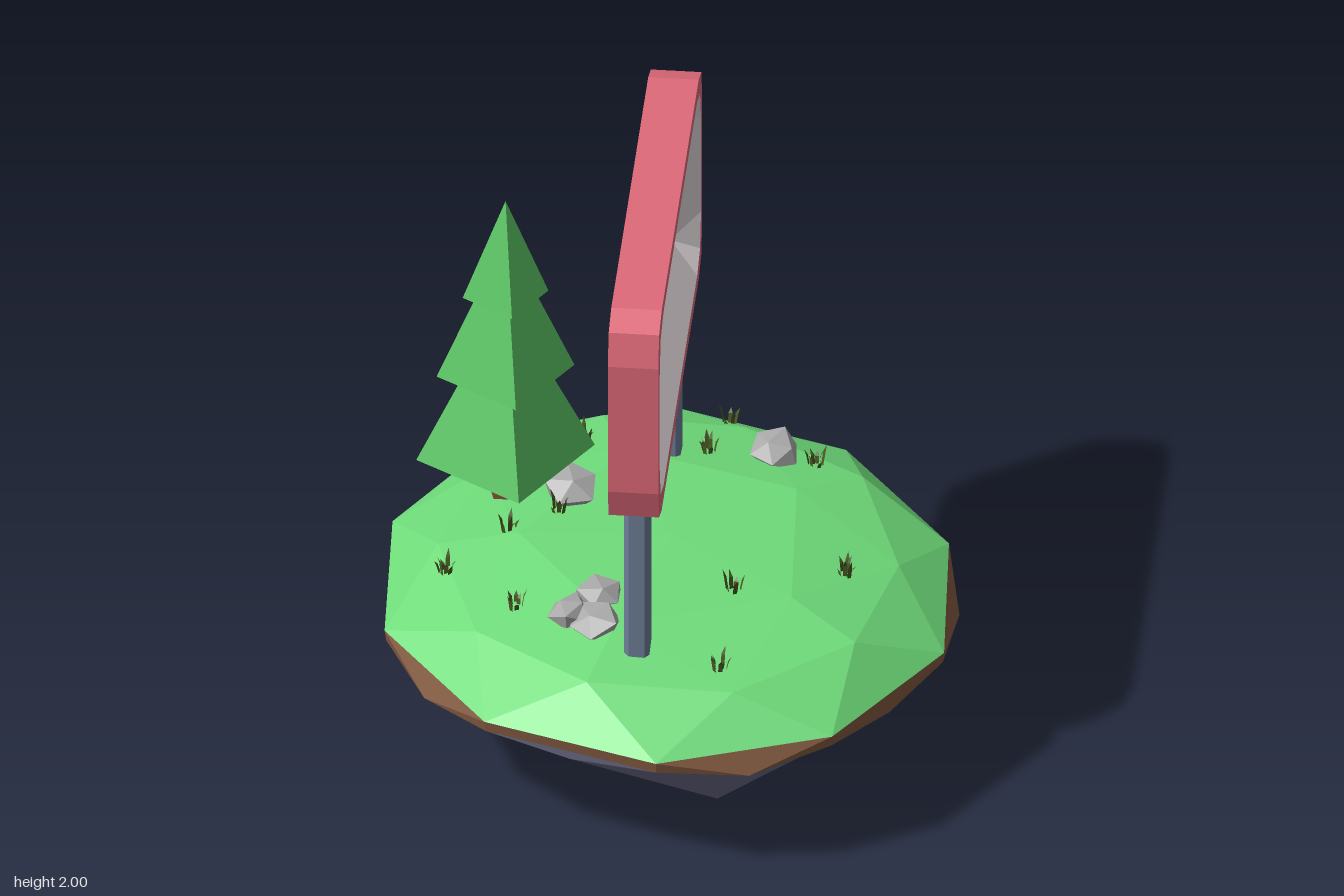
import * as THREE from 'three';

const mat = (color) => new THREE.MeshStandardMaterial({ color, flatShading: true, side: THREE.DoubleSide });
const M = {
  grass: mat(0x6fdc7a), dirt: mat(0x80583f), stone: mat(0x6b6b88), rock: mat(0xa8a8a8), red: mat(0xe06a7a),
  panel: mat(0xe0d8da), post: mat(0x6e8099), tree: mat(0x5cc566), trunk: mat(0x7a4a36), blade: mat(0x4a5a22),
};

// mesh from a list of triangles, each three [x, y, z] corners
function facets(name, tris, material) {
  const g = new THREE.BufferGeometry();
  g.setAttribute('position', new THREE.Float32BufferAttribute(tris.flat(2), 3));
  g.computeVertexNormals();
  return named(name, g, material);
}
function named(name, geometry, material) {
  const m = new THREE.Mesh(geometry, material);
  m.name = name;
  return m;
}

// island outline: ten rim corners and the ten points between them, as [x, z]
const RIM = [[.04, .97], [.58, .77], [.89, .28], [.85, -.32], [.48, -.8], [-.07, -.98], [-.61, -.78], [-.91, -.28], [-.88, .32], [-.52, .79]];
const MID = [[.33, .91], [.74, .52], [.91, -.03], [.67, -.56], [.21, -.93], [-.34, -.87], [-.8, -.55], [-.88, .02], [-.73, .58], [-.24, .87]];
const ring = (pts, s, y) => pts.map(([x, z], i) => [x * s, Array.isArray(y) ? y[i] : y, z * s]);

// faceted cap: rim, mid ring, five inner corners (odd or even ones), pole
function cap(name, rim, mid, inner, start, pole, flip, material) {
  const t = [];
  const at = (a, i) => a[(i + 10) % 10];
  for (let i = 0; i < 10; i++) {
    t.push([rim[i], at(rim, i + 1), mid[i]], [mid[i], at(rim, i + 1), at(mid, i + 1)]);
  }
  for (let k = start; k < 10; k += 2) {
    const a = inner[k], b = at(inner, k + 2);
    t.push([at(mid, k - 1), mid[k], a], [mid[k], at(mid, k + 1), a], [at(mid, k + 1), b, a], [a, b, pole]);
  }
  return facets(name, flip ? t.map(([a, b, c]) => [a, c, b]) : t, material);
}

function island() {
  const g = new THREE.Group();
  g.name = 'island';
  const rim = ring(RIM, 1, .467), low = ring(RIM, .995, .43), mid = ring(MID, 1, .398);
  const upper = MID.map(([x, z], i) => (i % 2 ? [x * .84, .6, z * .84] : [x * .79, .58, z * .79]));
  const grass = cap('grassTop', rim, upper, ring(MID, .55, .655), 1, [0, .67, 0], false, M.grass);
  const band = [];
  for (let i = 0; i < 10; i++) {
    const j = (i + 1) % 10;
    band.push([rim[i], mid[i], rim[j]], [rim[i], low[i], mid[i]], [rim[j], mid[i], low[j]]);
  }
  const depth = [.04, 0, .17, 0, .17, 0, .17, 0, .17, 0];
  g.add(grass, facets('dirtBand', band, M.dirt),
    cap('stoneBase', low, mid, ring(MID, .59, depth), 0, [-.02, 0, 0], true, M.stone));
  return { g, grass };
}

// rounded-off rectangle in the z-y plane: three corners per bend
function signRing(x, z0, z1, y0, y1, c) {
  const cz = (z0 + z1) / 2, cy = (y0 + y1) / 2, hz = (z1 - z0) / 2, hy = (y1 - y0) / 2;
  const out = [];
  for (const [sz, sy, swap] of [[-1, -1, 0], [-1, 1, 1], [1, 1, 0], [1, -1, 1]]) {
    const q = [[hz - c, hy], [hz - c * .25, hy - c * .28], [hz, hy - c * 1.2]];
    if (swap) q.reverse();
    for (const [z, y] of q) out.push([x, cy + sy * y, cz + sz * z]);
  }
  return out;
}
function bridge(a, b) {
  return a.flatMap((p, i) => {
    const j = (i + 1) % a.length;
    return [[p, b[j], b[i]], [p, a[j], b[j]]];
  });
}
const fan = (a) => a.slice(2).map((p, i) => [a[0], a[i + 1], p]);

function sign() {
  const g = new THREE.Group();
  g.name = 'sign';
  const back = signRing(-.13, -.73, .78, 1.23, 2, .12);
  const front = signRing(.03, -.73, .78, 1.23, 2, .12);
  const lip = signRing(.03, -.69, .73, 1.28, 1.95, .13);
  const floor = signRing(-.06, -.605, .63, 1.38, 1.88, 0);
  // corners run clockwise seen from +x
  const flip = (t) => t.map(([a, b, c]) => [a, c, b]);
  g.add(facets('signFrame', [...fan(back), ...flip(bridge(front, back)), ...flip(bridge(lip, front))], M.red));
  g.add(facets('signPanel', [...flip(fan(floor)), ...flip(bridge(floor, lip))], M.panel));

  // chamfered posts
  const s = new THREE.Shape([[.04, .035], [.025, .05], [-.025, .05], [-.04, .035], [-.04, -.035], [-.025, -.05], [.025, -.05], [.04, -.035]]
    .map((p) => new THREE.Vector2(...p)));
  for (const z of [.56, -.505]) {
    const post = named('post', new THREE.ExtrudeGeometry(s, { depth: .66, bevelEnabled: false }).rotateX(-Math.PI / 2), M.post);
    post.position.set(-.055, .6, z);
    g.add(post);
  }
  return g;
}

function tree() {
  const g = new THREE.Group();
  g.name = 'tree';
  const trunk = named('trunk', new THREE.CylinderGeometry(.04, .05, .24, 6), M.trunk);
  trunk.position.y = .68;
  g.add(trunk);
  for (const [y0, y1, r0, r1] of [[.77, 1.09, .285, .13], [1.085, 1.39, .22, .09], [1.38, 1.74, .137, 0]]) {
    const tier = named('foliageTier', new THREE.CylinderGeometry(r1, r0, y1 - y0, 4), M.tree);
    tier.position.y = (y0 + y1) / 2;
    g.add(tier);
  }
  g.position.set(-.55, 0, -.26);
  g.rotation.y = .24;
  return g;
}

// uneven boulder
function rock(x, y, z, r, seed) {
  const geo = new THREE.IcosahedronGeometry(r, 0);
  const p = geo.attributes.position;
  for (let i = 0; i < p.count; i++) {
    const k = 1 + .16 * Math.sin(seed * 7 + Math.round(p.getX(i) / r * 9) * 1.7 + Math.round(p.getY(i) / r * 9) * 2.3 + Math.round(p.getZ(i) / r * 9) * 3.1);
    p.setXYZ(i, p.getX(i) * k, p.getY(i) * k * .75, p.getZ(i) * k);
  }
  geo.computeVertexNormals();
  const m = named('rock', geo, M.rock);
  m.position.set(x, y, z);
  m.rotation.y = seed;
  return m;
}

// tuft of leaning pointed blades
function tuft(x, y, z, seed) {
  const t = [];
  for (let i = 0; i < 7; i++) {
    const a = seed * 1.3 + i * 2.4, c = Math.cos(a), s = Math.sin(a), h = .05 + .02 * Math.sin(i * 5 + seed);
    const r = .01 + .002 * i, w = .007;
    const l = [c * r - s * w, -.01, s * r + c * w], q = [c * r + s * w, -.01, s * r - c * w];
    const ml = [c * r * 1.4 - s * w, h * .6, s * r * 1.4 + c * w], mq = [c * r * 1.4 + s * w, h * .6, s * r * 1.4 - c * w];
    t.push([l, q, mq], [l, mq, ml], [ml, mq, [c * (r + .018), h, s * (r + .018)]]);
  }
  const m = facets('grassTuft', t, M.blade);
  m.position.set(x, y, z);
  return m;
}

export function createModel() {
  const model = new THREE.Group();
  model.name = 'signIsland';
  const { g, grass } = island();
  model.add(g, sign(), tree());

  const rocks = [[.28, .64, -.54, .085, 1], [-.2, .66, .33, .08, 2], [-.28, .645, .42, .075, 3], [-.19, .64, .46, .085, 4], [-.34, .68, -.22, .09, 5]];
  for (const r of rocks) model.add(rock(...r));

  // tufts sit on the grass surface
  grass.updateMatrixWorld();
  const ray = new THREE.Raycaster();
  const spots = [[.11, -.8], [-.33, -.57], [.07, -.52], [.41, -.51], [-.37, -.12], [-.52, -.02], [-.7, .15], [-.46, .36], [.22, .27], [.56, .09], [.21, .62]];
  spots.forEach(([x, z], i) => {
    ray.set(new THREE.Vector3(x, 3, z), new THREE.Vector3(0, -1, 0));
    const hit = ray.intersectObject(grass)[0];
    model.add(tuft(x, hit ? hit.point.y : .6, z, i));
  });
  return model;
}
